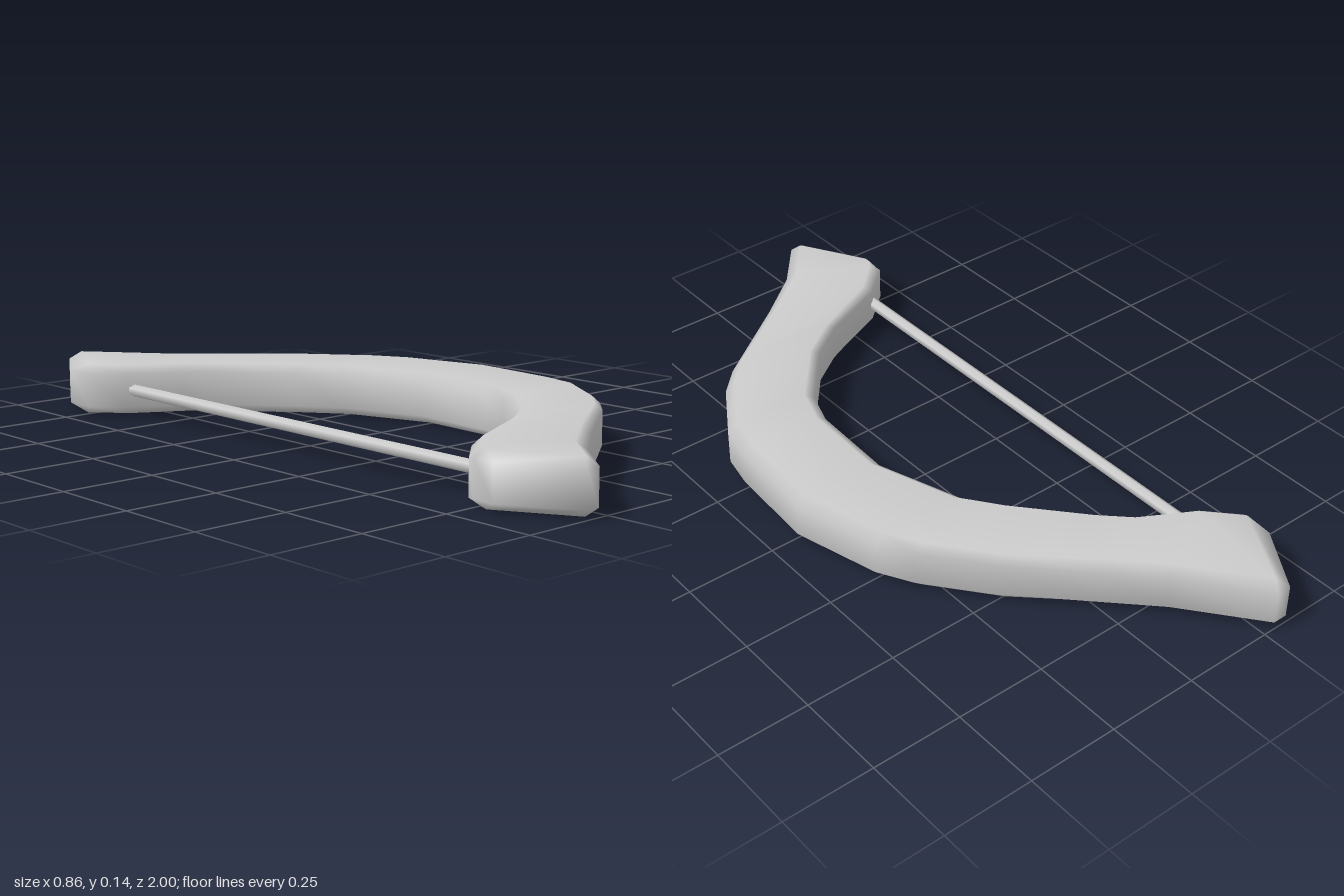
import * as THREE from 'three';
import { mergeVertices } from 'three/addons/utils/BufferGeometryUtils.js';

const HEIGHT = 0.137;

// Stations along the bow: [inner x, inner z, outer x, outer z]
const STATIONS = [
  [-0.43, -0.83, -0.32, -1.0],
  [-0.43, -0.74, -0.28, -1.0],
  [-0.355, -0.66, -0.12, -0.8],
  [-0.22, -0.585, 0.0, -0.68],
  [-0.15, -0.53, 0.18, -0.5],
  [0.0, -0.36, 0.31, -0.34],
  [0.08, -0.25, 0.36, -0.25],
  [0.16, -0.01, 0.425, -0.01],
  [0.15, 0.24, 0.41, 0.25],
  [0.115, 0.34, 0.39, 0.35],
  [-0.02, 0.5, 0.29, 0.51],
  [-0.13, 0.575, 0.22, 0.58],
  [-0.33, 0.66, -0.03, 0.76],
  [-0.42, 0.74, -0.17, 0.87],
  [-0.42, 0.755, -0.28, 1.0],
  [-0.425, 0.82, -0.32, 1.0],
];

// Eight-sided bevelled section; end sections are lower, which rounds the tips
function section([ix, iz, ox, oz], isEnd) {
  const width = Math.hypot(ox - ix, oz - iz);
  const t = isEnd ? 0 : 0.03 / width;
  const low = 0.022, high = HEIGHT - 0.022;
  const bottom = isEnd ? low : 0, top = isEnd ? high : HEIGHT;
  const outline = [
    [0, low], [t, bottom], [1 - t, bottom], [1, low],
    [1, high], [1 - t, top], [t, top], [0, high],
  ];
  return outline.map(([u, y]) => [ix + (ox - ix) * u, y, iz + (oz - iz) * u]);
}

function limbGeometry() {
  const last = STATIONS.length - 1;
  const positions = [], index = [];
  STATIONS.forEach((s, i) => positions.push(...section(s, i === 0 || i === last).flat()));
  for (let i = 0; i < last; i++) {
    for (let j = 0; j < 8; j++) {
      const a = i * 8 + j, b = i * 8 + (j + 1) % 8;
      index.push(a, b, b + 8, a, b + 8, a + 8);
    }
  }
  // End caps
  const e = last * 8;
  index.push(0, 7, 4, 0, 4, 3, e, e + 3, e + 4, e, e + 4, e + 7);
  let geometry = new THREE.BufferGeometry();
  geometry.setAttribute('position', new THREE.Float32BufferAttribute(positions, 3));
  geometry.setIndex(index);
  geometry = mergeVertices(geometry, 1e-4);
  geometry.computeVertexNormals();
  return geometry;
}

export function createModel() {
  const material = new THREE.MeshStandardMaterial({ color: 0xcccccc });
  const group = new THREE.Group();
  group.name = 'bow';

  // Curved bow body
  const limb = new THREE.Mesh(limbGeometry(), material);
  limb.name = 'bowLimb';
  group.add(limb);

  // Straight string, its ends sunk into the tips
  const string = new THREE.Mesh(new THREE.CylinderGeometry(0.017, 0.017, 1.4, 6), material);
  string.name = 'bowString';
  string.rotation.x = Math.PI / 2;
  string.position.set(-0.336, HEIGHT / 2, 0);
  group.add(string);

  return group;
}
